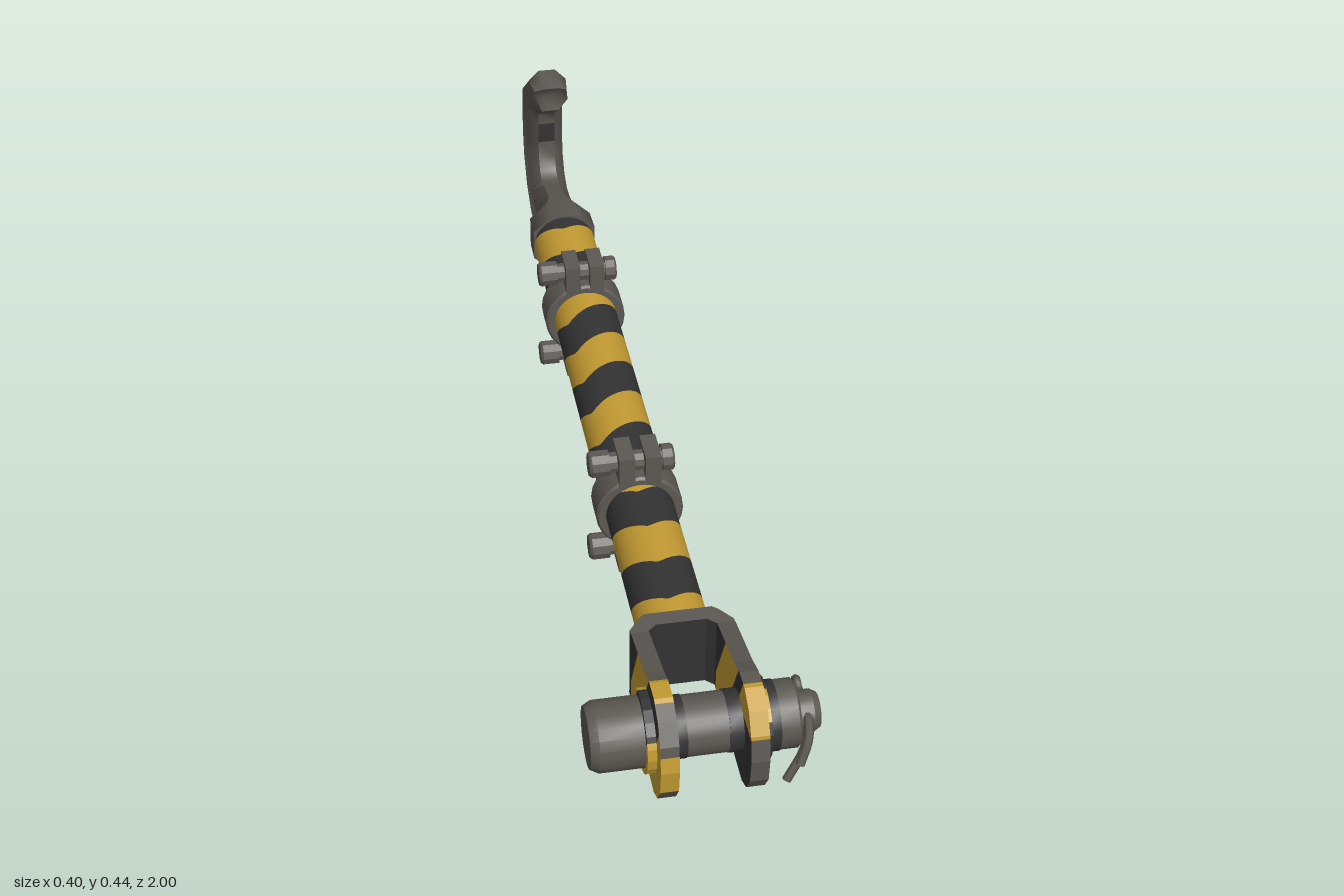
import * as THREE from 'three';
import { toCreasedNormals } from 'three/addons/utils/BufferGeometryUtils.js';

const mat = (name, color) => Object.assign(new THREE.MeshStandardMaterial({ color }), { name });

export function createModel() {
  const root = new THREE.Group();
  root.name = 'towBar';
  const steel = mat('steel', 0x5c5853), yellow = mat('yellowPaint', 0xc49b32), black = mat('blackPaint', 0x333333);
  const add = (name, geo, material, parent = root) => {
    const m = new THREE.Mesh(geo, material);
    m.name = name;
    parent.add(m);
    return m;
  };
  // Turned part along x from [x, radius] pairs
  const turned = (name, profile, y, z, sides, parent = root, material = steel) => {
    const g = new THREE.LatheGeometry(profile.map(([x, r]) => new THREE.Vector2(r, x)), sides);
    const m = add(name, toCreasedNormals(g.rotateZ(-Math.PI / 2), 0.5), material, parent);
    m.position.set(0, y, z);
    return m;
  };
  // Plate cut from a (z, y) outline, spanning x0..x1
  const slab = (pts, x0, x1) => new THREE.ExtrudeGeometry(
    new THREE.Shape(pts.map(p => new THREE.Vector2(...p))), { depth: x1 - x0, bevelEnabled: false })
    .rotateY(-Math.PI / 2).translate(x1, 0, 0);

  // Tube wrapped in slanted stripes that fold back at a seam angle; sections meet under the clamps
  const R = 0.065, CY = 0.145, P = 0.2, N = 48;
  const tubeSections = [[-0.64, -0.365, -0.1], [-0.365, 0.275, -0.85], [0.275, 0.69, -0.1]];
  const stripes = (first) => {
    const pos = [], nor = [];
    const vert = (a, z) => {
      pos.push(R * Math.sin(a), CY + R * Math.cos(a), z);
      nor.push(Math.sin(a), Math.cos(a), 0);
    };
    for (const [zMin, zMax, seam] of tubeSections) {
      const lim = z => Math.min(zMax, Math.max(zMin, z));
      const top = -P * seam / (2 * Math.PI);
      const offset = a => a >= seam ? -P * a / (2 * Math.PI)
        : top + (-P / 2 - top) * (seam - a) / (seam + Math.PI);
      for (let k = -5; k < 6; k++) for (let i = 0; i < N; i++) {
        const a = (2 * i / N - 1) * Math.PI, b = (2 * (i + 1) / N - 1) * Math.PI;
        const za = first + k * P + offset(a), zb = first + k * P + offset(b);
        const a0 = lim(za), a1 = lim(za + P / 2), b0 = lim(zb), b1 = lim(zb + P / 2);
        if (a1 - a0 + b1 - b0 < 1e-6) continue;
        vert(a, a0); vert(a, a1); vert(b, b1);
        vert(a, a0); vert(b, b1); vert(b, b0);
      }
    }
    const g = new THREE.BufferGeometry();
    g.setAttribute('position', new THREE.Float32BufferAttribute(pos, 3));
    g.setAttribute('normal', new THREE.Float32BufferAttribute(nor, 3));
    return g;
  };
  add('tubeYellowStripes', stripes(0.02), yellow);
  add('tubeBlackStripes', stripes(0.12), black);

  // Hook: [outer z, outer y, inner z, inner y, half width, groove depth]
  const sections = [
    [-0.62, 0.078, -0.62, 0.212, 0.067, 0], [-0.68, 0.074, -0.68, 0.21, 0.066, 0],
    [-0.72, 0.055, -0.715, 0.203, 0.042, 0], [-0.75, 0.045, -0.75, 0.196, 0.04, 0],
    [-0.765, 0.043, -0.765, 0.192, 0.04, 0.006], [-0.81, 0.038, -0.80, 0.182, 0.04, 0.006],
    [-0.87, 0.05, -0.83, 0.175, 0.04, 0.006], [-0.94, 0.09, -0.853, 0.186, 0.04, 0.006],
    [-0.985, 0.155, -0.868, 0.212, 0.04, 0.006], [-1.0, 0.22, -0.871, 0.25, 0.04, 0.006],
    [-0.998, 0.29, -0.868, 0.295, 0.04, 0.006], [-0.996, 0.31, -0.867, 0.305, 0.04, 0],
    [-0.99, 0.345, -0.865, 0.327, 0.04, 0], [-0.92, 0.395, -0.835, 0.348, 0.04, 0],
    [-0.85, 0.445, -0.80, 0.372, 0.04, 0],
    [-0.79, 0.432, -0.808, 0.405, 0.035, 0],
  ];
  const hookPos = [], hookIdx = [];
  for (const [oz, oy, iz, iy, w, g] of sections) {
    const d = 1 - g / w;
    const half = [[0.45, -1], [1, -0.5], [1, -0.4], [d, -0.32], [d, 0.32], [1, 0.4], [1, 0.5], [0.45, 1]];
    const ring = [...half, ...half.map(([u, v]) => [-u, v]).reverse()];
    for (const [u, v] of ring) {
      const t = (v + 1) / 2;
      hookPos.push(u * w, oy + (iy - oy) * t, oz + (iz - oz) * t);
    }
  }
  const M = 16, last = (sections.length - 1) * M;
  for (let j = 0; j < last; j += M) for (let i = 0; i < M; i++) {
    const n = (i + 1) % M;
    hookIdx.push(j + i, j + M + i, j + M + n, j + i, j + M + n, j + n);
  }
  for (let i = 1; i < M - 1; i++) {
    hookIdx.push(0, i, i + 1, last, last + i + 1, last + i);
  }
  const hook = new THREE.BufferGeometry();
  hook.setAttribute('position', new THREE.Float32BufferAttribute(hookPos, 3));
  hook.setIndex(hookIdx);
  add('hook', toCreasedNormals(hook, 0.95), steel);
  add('hookThroatPaint', new THREE.BoxGeometry(0.036, 0.045, 0.006), black).position.set(0, 0.277, -0.869);

  // Two split clamps, each with a ring, flanges and two bolts
  for (const z of [0.27, -0.365]) {
    const clamp = new THREE.Group();
    clamp.name = 'clamp';
    root.add(clamp);
    const ring = new THREE.LatheGeometry([[0.06, -0.035], [0.079, -0.035], [0.083, -0.03], [0.083, 0.03],
      [0.079, 0.035], [0.06, 0.035]].map(p => new THREE.Vector2(...p)), 24);
    add('clampRing', toCreasedNormals(ring.rotateX(Math.PI / 2), 0.5), steel, clamp).position.set(0, 0.142, z);
    for (const [y, h, by] of [[0.236, 0.072, 0.243], [0.038, 0.076, 0.042]]) {
      for (const s of [-1, 1]) {
        add('clampFlange', new THREE.BoxGeometry(0.03, h, 0.07), steel, clamp).position.set(s * 0.025, y, z);
      }
      turned('clampBolt', [[-0.093, 0], [-0.093, 0.022], [-0.088, 0.026], [-0.055, 0.026], [-0.055, 0.02],
        [0.045, 0.02], [0.045, 0.026], [0.064, 0.026], [0.068, 0.022], [0.068, 0]], by, z, 10, clamp);
    }
  }

  // Fork bridge joining the tube to the two cheeks
  const right = [[0.06, 0.668], [0.07, 0.676], [0.092, 0.705], [0.092, 0.72], [0.06, 0.72], [0.06, 0.712], [0.045, 0.698]];
  const bridge = new THREE.Shape([...right, ...right.map(([x, z]) => [-x, z]).reverse()]
    .map(p => new THREE.Vector2(...p)));
  add('forkBridge', new THREE.ExtrudeGeometry(bridge, { depth: 0.147, bevelEnabled: false })
    .rotateX(Math.PI / 2).translate(0, 0.222, 0), [steel, black]);

  // Paint areas of the fork: [face, rim, min slant, max slant, min y, max y], for each side
  const body = [[black, steel, 0, 0.735, 0, 1], [yellow, steel, 0.735, 0.82, 0, 1]];
  const paintAreas = {
    right: [...body, [black, steel, 0.82, 0.93, 0, 0.25], [black, yellow, 0.82, 0.875, 0.25, 1],
      [black, steel, 0.875, 0.93, 0.25, 1], [yellow, steel, 0.93, 2, 0, 0.12],
      [yellow, yellow, 0.93, 2, 0.12, 0.2], [yellow, steel, 0.93, 2, 0.2, 1]],
    left: [...body, [black, steel, 0.82, 0.855, 0, 1], [black, steel, 0.855, 2, 0, 0.213],
      [yellow, yellow, 0.855, 2, 0.213, 1]],
  };
  const slant = ([z, y]) => z - 0.5 * (y - CY);
  const clip = (pts, dist) => pts.flatMap((p, i) => {
    const q = pts[(i + 1) % pts.length], a = dist(p), b = dist(q), out = a >= 0 ? [p] : [];
    if (a * b < 0) out.push([0, 1].map(k => p[k] + (q[k] - p[k]) * a / (a - b)));
    return out;
  });
  const painted = (name, outline, side, x0, x1, paintedRim) => {
    for (const [face, rim, s0, s1, y0, y1] of paintAreas[side]) {
      const limits = [p => slant(p) - s0, p => s1 - slant(p), p => p[1] - y0, p => y1 - p[1]];
      const part = limits.reduce(clip, outline);
      if (part.length > 2) add(name, slab(part, x0, x1), [face, paintedRim ? face : rim]);
    }
  };

  // Fork cheeks and the washers against them
  const PY = 0.17, PZ = 0.895;
  const cheek = [[0.715, 0.074], [0.94, 0.068], [0.972, 0.085], [0.995, 0.122], [1, 0.17], [0.99, 0.22],
    [0.967, 0.256], [0.93, 0.275], [0.89, 0.273], [0.85, 0.258], [0.715, 0.225]];
  const washer = Array.from({ length: 20 }, (_, i) => i / 10 * Math.PI)
    .map(a => [PZ + 0.073 * Math.cos(a), PY + 0.073 * Math.sin(a)]);
  painted('forkCheekRight', cheek, 'right', -0.092, -0.06, false);
  painted('forkCheekLeft', cheek, 'left', 0.06, 0.092, false);
  painted('washerRight', washer, 'right', -0.108, -0.09, true);
  painted('washerLeft', washer, 'left', 0.09, 0.104, true);

  // Cross pin with head, collar and reduced end
  turned('crossPin', [[-0.2, 0], [-0.2, 0.054], [-0.185, 0.062], [-0.108, 0.062], [-0.108, 0.053], [0.155, 0.053],
    [0.155, 0.037], [0.185, 0.037], [0.197, 0.03], [0.197, 0]], PY, PZ, 20);
  turned('pinCollar', [[0.1, 0], [0.1, 0.06], [0.154, 0.06], [0.158, 0.056], [0.158, 0]], PY, PZ, 20);
  // Painted bands on the pin
  for (const [x0, x1, r] of [[-0.06, -0.036, 0.0545], [0.036, 0.06, 0.0545], [0.104, 0.122, 0.0615]]) {
    turned('pinPaintBand', [[x0, 0.05], [x0, r], [x1, r], [x1, 0.05]], PY, PZ, 20, root, black);
  }

  // Split pin through the end, with two bent legs
  for (const s of [0, 1]) {
    const path = new THREE.CatmullRomCurve3([[0.172, 0.185, 0.84], [0.172, 0.185 - 0.012 * s, 0.93],
      [0.168 - 0.006 * s, 0.165 - 0.02 * s, 0.955], [0.15 - 0.022 * s, 0.125 - 0.032 * s, 0.975]]
      .map(p => new THREE.Vector3(...p)));
    add('splitPinLeg', new THREE.TubeGeometry(path, 12, 0.008, 6), steel);
  }
  add('splitPinEye', new THREE.TorusGeometry(0.014, 0.007, 6, 12).rotateY(Math.PI / 2), steel).position.set(0.172, 0.18, 0.845);

  return root;
}
